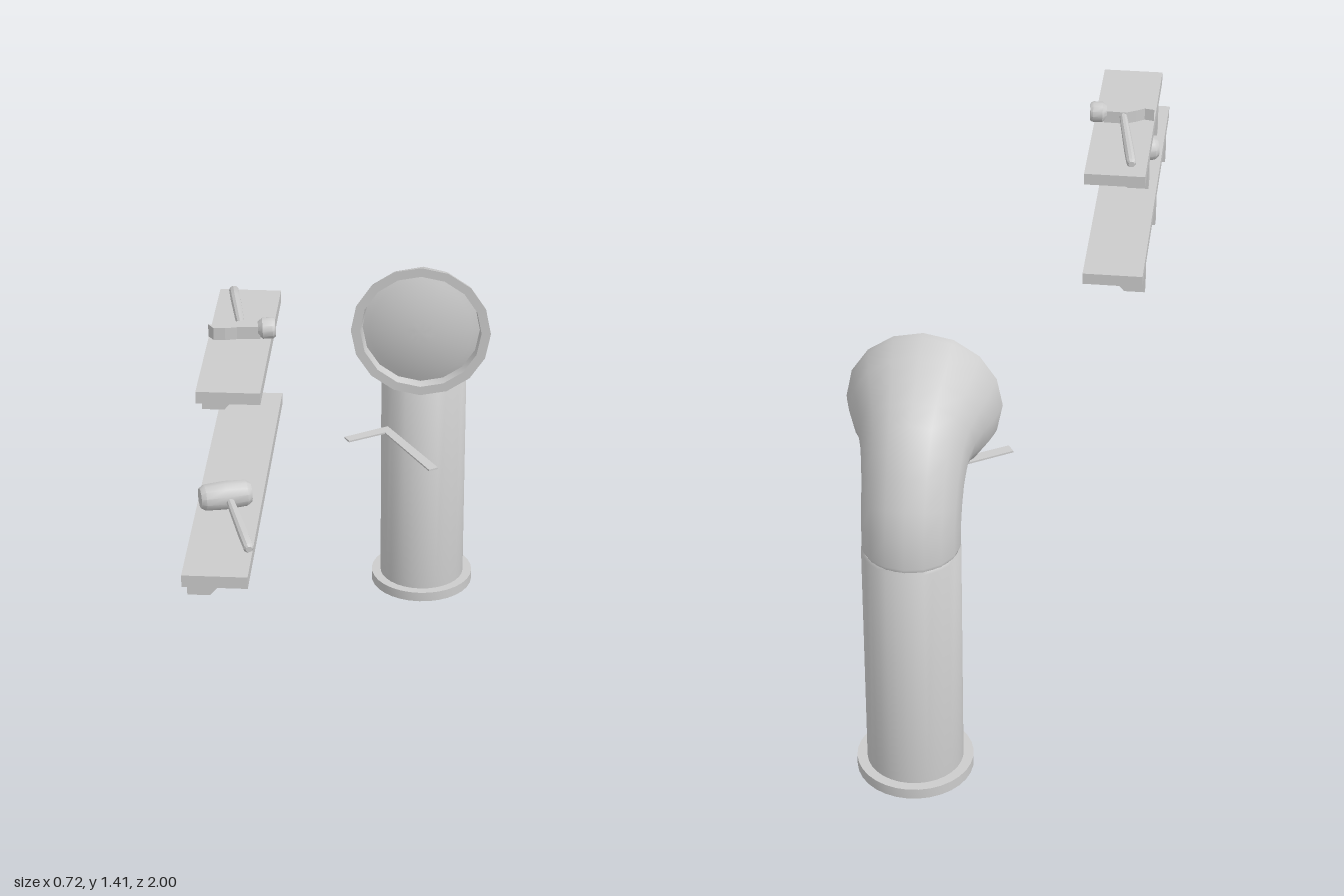
import * as THREE from 'three';
import { toCreasedNormals } from 'three/addons/utils/BufferGeometryUtils.js';

const V = (x, y, z) => new THREE.Vector3(x, y, z);
const mat = new THREE.MeshStandardMaterial({ color: 0xcccccc, side: THREE.DoubleSide });

function add(parent, name, geometry, x = 0, y = 0, z = 0) {
  const mesh = new THREE.Mesh(geometry, mat);
  mesh.name = name;
  mesh.position.set(x, y, z);
  parent.add(mesh);
  return mesh;
}

function lathe(points, sides) {
  const g = new THREE.LatheGeometry(points.map(p => new THREE.Vector2(...p)), sides);
  return toCreasedNormals(g, 0.6);
}

// Turns a lathe profile so that its axis runs from a to b
function turned(parent, name, a, b, profile, sides) {
  const mesh = add(parent, name, lathe(profile, sides), a.x, a.y, a.z);
  mesh.quaternion.setFromUnitVectors(V(0, 1, 0), b.clone().sub(a).normalize());
  return mesh;
}

function handle(parent, a, b, r) {
  const L = a.distanceTo(b);
  return turned(parent, 'handle', a, b,
    [[0, 0], [r * 0.8, 0], [r, L * 0.3], [r * 1.15, L * 0.75], [r * 1.1, L * 0.97], [r * 0.7, L], [0, L]], 10);
}

function extrude(points, depth) {
  const shape = new THREE.Shape(points.map(p => new THREE.Vector2(...p)));
  return new THREE.ExtrudeGeometry(shape, { depth, bevelEnabled: false });
}

// Flaring elbow: each section is [outer z, outer y, inner z, inner y, half width]
function hornGeometry(sections, sides) {
  const curves = [[0, 1], [2, 3]].map(([z, y]) =>
    sections.map(s => V(0, s[y], s[z])));
  const pos = [], index = [];
  sections.forEach((s, j) => {
    const o = curves[0][j], i = curves[1][j];
    const c = o.clone().add(i).multiplyScalar(0.5);
    const u = o.clone().sub(i).multiplyScalar(0.5);
    for (let k = 0; k < sides; k++) {
      const t = (k / sides) * Math.PI * 2;
      const p = c.clone().addScaledVector(u, Math.cos(t));
      pos.push(Math.sin(t) * s[4], p.y, p.z);
      if (j === 0) continue;
      const k2 = (k + 1) % sides, a = (j - 1) * sides, b = j * sides;
      index.push(a + k2, a + k, b + k, a + k2, b + k, b + k2);
    }
  });
  const g = new THREE.BufferGeometry();
  g.setAttribute('position', new THREE.Float32BufferAttribute(pos, 3));
  g.setIndex(index);
  g.computeVertexNormals();
  return g;
}

function createVent() {
  const vent = new THREE.Group();
  vent.name = 'ventPipe';
  vent.position.set(0.155, 0, -0.84);

  // Upright pipe, open below, with a base flange
  add(vent, 'pipe', lathe([[0.12, 0], [0.12, 0.70], [0.124, 0.71], [0.128, 0.703], [0.128, 0.03]], 32));
  add(vent, 'baseFlange', lathe([[0.12, 0], [0.155, 0], [0.155, 0.03], [0.128, 0.03]], 32));

  // Elbow opening into the bell mouth
  const horn = add(vent, 'hornElbow', hornGeometry([
    [-0.964, 0.708, -0.716, 0.708, 0.124],
    [-0.968, 0.72, -0.712, 0.72, 0.128],
    [-0.964, 0.80, -0.707, 0.75, 0.128],
    [-0.938, 0.875, -0.70, 0.775, 0.129],
    [-0.90, 0.95, -0.69, 0.79, 0.131],
    [-0.862, 1.008, -0.68, 0.797, 0.135],
    [-0.818, 1.056, -0.668, 0.80, 0.140],
    [-0.765, 1.09, -0.652, 0.798, 0.150],
    [-0.70, 1.12, -0.632, 0.79, 0.168],
    [-0.64, 1.146, -0.605, 0.778, 0.188],
    [-0.583, 1.171, -0.58, 0.771, 0.200],
    [-0.567, 1.175, -0.567, 0.769, 0.203],
  ], 16));
  horn.position.z = 0.84;

  // Rim, recess and domed cover of the mouth
  const mouth = new THREE.Group();
  mouth.name = 'mouth';
  mouth.position.set(0, 0.972, 0.273);
  mouth.rotation.x = Math.PI / 2;
  vent.add(mouth);
  add(mouth, 'rim', lathe([[0.203, 0], [0.176, 0], [0.17, -0.03]], 16));
  const dome = [];
  for (let i = 0; i <= 8; i++) {
    const r = 0.172 * (1 - i / 8);
    dome.push([r, 0.005 - 0.034 * (r / 0.172) ** 2]);
  }
  add(mouth, 'domeCover', lathe(dome, 16));
  return vent;
}

// Shelf board with evenly spaced bevelled brackets
function createShelf(name, top, length, bracketZs) {
  const shelf = new THREE.Group();
  shelf.name = name;
  add(shelf, 'board', new THREE.BoxGeometry(0.163, 0.032, length), -0.28, top - 0.016, length / 2 - 0.005);
  const profile = [[0, 0], [0, -0.083], [0.057, -0.083], [0.127, 0]];
  for (const z of bracketZs)
    add(shelf, 'bracket', extrude(profile, 0.03), -0.361, top - 0.032, z - 0.015);
  return shelf;
}

function createClawHammer() {
  const hammer = new THREE.Group();
  hammer.name = 'clawHammer';
  handle(hammer, V(-0.275, 1.382, 0.30), V(-0.322, 1.369, 0.03), 0.012);
  // Curved claw and cheek drawn in plan, then laid flat
  const claw = extrude([[-0.361, -0.303], [-0.335, -0.308], [-0.312, -0.293], [-0.285, -0.278],
    [-0.225, -0.28], [-0.225, -0.312], [-0.285, -0.316], [-0.315, -0.324], [-0.345, -0.325]], 0.034);
  claw.rotateX(-Math.PI / 2);
  add(hammer, 'claw', claw, 0, 1.359, 0);
  turned(hammer, 'strikingFace', V(-0.232, 1.382, 0.296), V(-0.186, 1.384, 0.292),
    [[0, 0], [0.018, 0], [0.028, 0.012], [0.028, 0.038], [0.024, 0.045], [0, 0.045]], 12);
  return hammer;
}

function createMallet() {
  const mallet = new THREE.Group();
  mallet.name = 'mallet';
  handle(mallet, V(-0.281, 1.08, 0.65), V(-0.205, 1.06, 0.888), 0.012);
  turned(mallet, 'malletHead', V(-0.35, 1.081, 0.67), V(-0.225, 1.081, 0.63),
    [[0, 0], [0.026, 0], [0.034, 0.012], [0.037, 0.065], [0.034, 0.119], [0.026, 0.131], [0, 0.131]], 12);
  return mallet;
}

export function createModel() {
  const model = new THREE.Group();
  model.name = 'workshopSet';
  model.add(createVent());
  model.add(createShelf('upperShelf', 1.352, 0.617, [0.155, 0.465]));
  model.add(createShelf('lowerShelf', 1.045, 1.005, [0.123, 0.50, 0.88]));
  model.add(createClawHammer(), createMallet());

  // Thin flat L-shaped square
  const square = extrude([[-0.055, 0.393], [0.066, 0.468], [0.222, 0.222],
    [0.197, 0.206], [0.06, 0.428], [-0.04, 0.368]], 0.005);
  square.rotateX(-Math.PI / 2);
  add(model, 'angleSquare', square, 0, 0.71, 0);
  return model;
}
